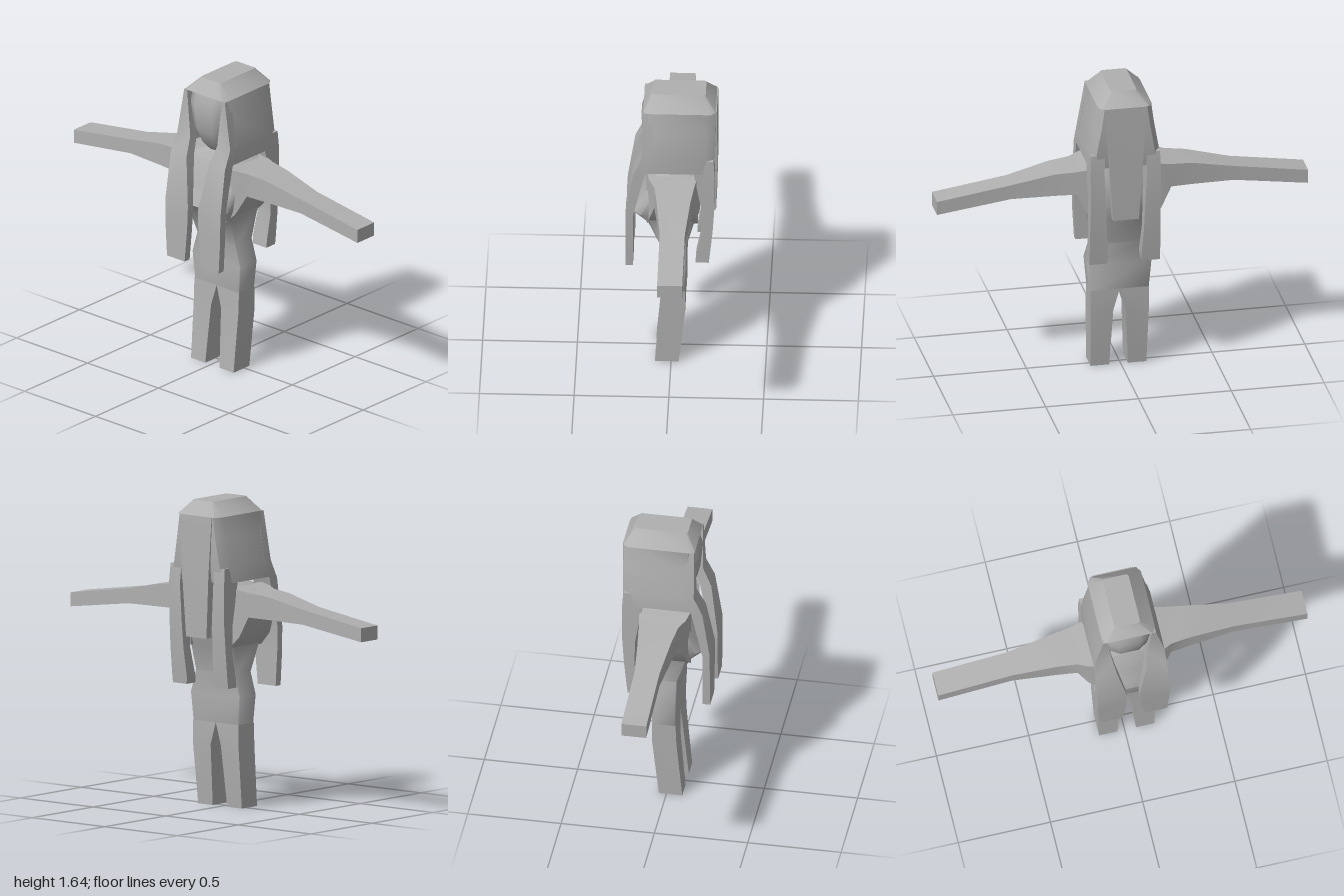
import * as THREE from 'three';
import { toCreasedNormals } from 'three/addons/utils/BufferGeometryUtils.js';

const CX = 0.012; // the body sits slightly to the model's left

// Skin a list of equal-length point rings; capped solids are wound outwards.
function loft(rings, { crease = 0.9, closed = true, capStart = true, capEnd = true } = {}) {
  const n = rings[0].length, pos = [], idx = [];
  rings.forEach(r => r.forEach(p => pos.push(...p)));
  for (let i = 0; i < rings.length - 1; i++) {
    for (let j = 0; j < (closed ? n : n - 1); j++) {
      const k = (j + 1) % n, a = i * n + j, b = i * n + k;
      idx.push(a, b, b + n, a, b + n, a + n);
    }
  }
  const last = (rings.length - 1) * n;
  for (let j = 1; j < n - 1; j++) {
    if (capStart) idx.push(0, j + 1, j);
    if (capEnd) idx.push(last, last + j, last + j + 1);
  }
  // signed volume decides the winding
  const v = i => new THREE.Vector3(...pos.slice(i * 3, i * 3 + 3));
  let vol = 0;
  for (let i = 0; i < idx.length; i += 3) vol += v(idx[i]).dot(v(idx[i + 1]).cross(v(idx[i + 2])));
  if (vol < 0) idx.reverse();
  const g = new THREE.BufferGeometry();
  g.setAttribute('position', new THREE.Float32BufferAttribute(pos, 3));
  g.setIndex(idx);
  return toCreasedNormals(g, crease);
}

// Rectangle at height y between two x and two z values
const box = (y, x0, x1, zf, zb) => [[x0, y, zf], [x1, y, zf], [x1, y, zb], [x0, y, zb]];

// Rectangle with chamfered corners, symmetric in x
function chamfer(y, w, zf, zb, cx, cz) {
  const half = [[w - cx, zf], [w, zf - cz], [w, zb + cz], [w - cx, zb]];
  return [...half, ...half.slice().reverse().map(([x, z]) => [-x, z])].map(([x, z]) => [x, y, z]);
}

export function createModel() {
  const model = new THREE.Group();
  model.name = 'figure';
  const grey = new THREE.MeshStandardMaterial({ color: 0xb0b0b0, side: THREE.DoubleSide });
  grey.name = 'grey';

  const figure = new THREE.Group();
  figure.name = 'bodyAndHair';
  figure.position.x = CX;
  model.add(figure);

  const add = (name, geometry, parent = figure) => {
    const mesh = new THREE.Mesh(geometry, grey);
    mesh.name = name;
    parent.add(mesh);
  };
  const mirrored = (name, rows, s, opts) => add((s > 0 ? 'left' : 'right') + name,
    loft(rows.map(([y, a, b, zf, zb]) => box(y, s * a, s * b, zf, zb)), opts));

  // Torso from crotch to neck
  add('torso', loft([
    [0.45, 0.157, 0.05, -0.075, 0.005],
    [0.6, 0.17, 0.055, -0.08, 0.005],
    [0.72, 0.135, 0.055, -0.08, 0.005],
    [0.87, 0.15, 0.12, -0.12, 0.02],
    [0.945, 0.175, 0.2, -0.15, 0.04],
    [1.05, 0.19, 0.135, -0.14, 0.03],
    [1.18, 0.17, 0.09, -0.12, 0.02],
    [1.225, 0.085, 0.05, -0.09, 0.02],
  ].map(([y, w, zf, zb, c]) => chamfer(y, w, zf, zb, c, c))));

  // Neck and head with a rounded face
  add('neck', loft([box(1.18, -0.05, 0.05, 0.05, -0.06), box(1.34, -0.05, 0.05, 0.05, -0.06)]));
  add('head', loft([
    [1.24, 0.03, 0.08, -0.08, 0.01],
    [1.27, 0.07, 0.105, -0.12, 0.035],
    [1.36, 0.11, 0.147, -0.16, 0.06],
    [1.5, 0.125, 0.16, -0.18, 0.065],
    [1.57, 0.12, 0.14, -0.17, 0.06],
  ].map(([y, w, zf, zb, c]) => chamfer(y, w, zf, zb, c, c * 0.6)), { crease: 1.2 }));

  // Hair cap: crown over the brow, then a shell open at the face
  const crown = [chamfer(1.645, 0.07, 0.1, -0.18, 0.01, 0.01), chamfer(1.57, 0.145, 0.148, -0.235, 0.02, 0.03)];
  add('hairCrown', loft(crown, { capEnd: false, crease: 0.7 }));
  const shell = [
    [1.57, 0.145, 0.125, 0.148, -0.235],
    [1.46, 0.16, 0.112, 0.15, -0.235],
    [1.3, 0.188, 0.1, 0.153, -0.23],
    [1.22, 0.19, 0.095, 0.165, -0.215],
  ].map(([y, w, inner, zf, zb]) => {
    const half = [[inner, zf], [w, zf - 0.03], [w, zb + 0.05], [w - 0.03, zb], [0.04, zb]];
    return [...half, ...half.slice().reverse().map(([x, z]) => [-x, z])].map(([x, z]) => [x, y, z]);
  });
  add('hairShell', loft(shell, { closed: false, capStart: false, capEnd: false, crease: 1 }));

  // Flat tress down the middle of the back
  add('backTress', loft([
    box(1.57, -0.11, 0.11, -0.21, -0.24),
    box(1.25, -0.09, 0.09, -0.2, -0.243),
    box(0.92, -0.07, 0.07, -0.195, -0.235),
  ]));

  for (const s of [1, -1]) {
    // Leg: inner x, outer x, front z, back z
    mirrored('Leg', [
      [0, 0.05, 0.15, 0.085, -0.04],
      [0.33, 0.035, 0.157, 0.055, -0.075],
      [0.45, 0, 0.157, 0.05, -0.075],
    ], s, { capEnd: false });

    // Long lock framing the face and falling over the chest
    mirrored('FrontLock', [
      [1.57, 0.122, 0.143, 0.147, 0.1],
      [1.31, 0.095, 0.187, 0.153, 0.1],
      [1.21, 0.08, 0.191, 0.2, 0.14],
      [0.95, 0.035, 0.194, 0.24, 0.2],
      [0.82, 0.04, 0.193, 0.24, 0.2],
      [0.63, 0.058, 0.182, 0.24, 0.2],
    ], s);

    // Wavy lock behind the shoulder
    mirrored('BackLock', [
      [1.3, 0.11, 0.185, -0.1, -0.225],
      [1.2, 0.115, 0.19, -0.125, -0.232],
      [1.0, 0.105, 0.188, -0.16, -0.23],
      [0.85, 0.1, 0.19, -0.165, -0.22],
      [0.7, 0.09, 0.19, -0.135, -0.205],
      [0.66, 0.095, 0.19, -0.13, -0.2],
    ], s);

    // Arm: x, bottom y, top y, front z, back z
    add(s > 0 ? 'leftArm' : 'rightArm', loft([
      [0.13, 0.86, 1.19, 0.13, -0.14],
      [0.2, 0.93, 1.18, 0.115, -0.135],
      [0.255, 1.04, 1.17, 0.085, -0.125],
      [0.37, 1.037, 1.16, 0.07, -0.11],
      [0.6, 1.03, 1.11, 0.045, -0.088],
      [1, 0.975, 1.05, 0.045, -0.088],
    ].map(([x, y0, y1, zf, zb]) => [[s * x, y0, zf], [s * x, y1, zf], [s * x, y1, zb], [s * x, y0, zb]]),
    { crease: 0.7 }), model);
  }
  return model;
}
